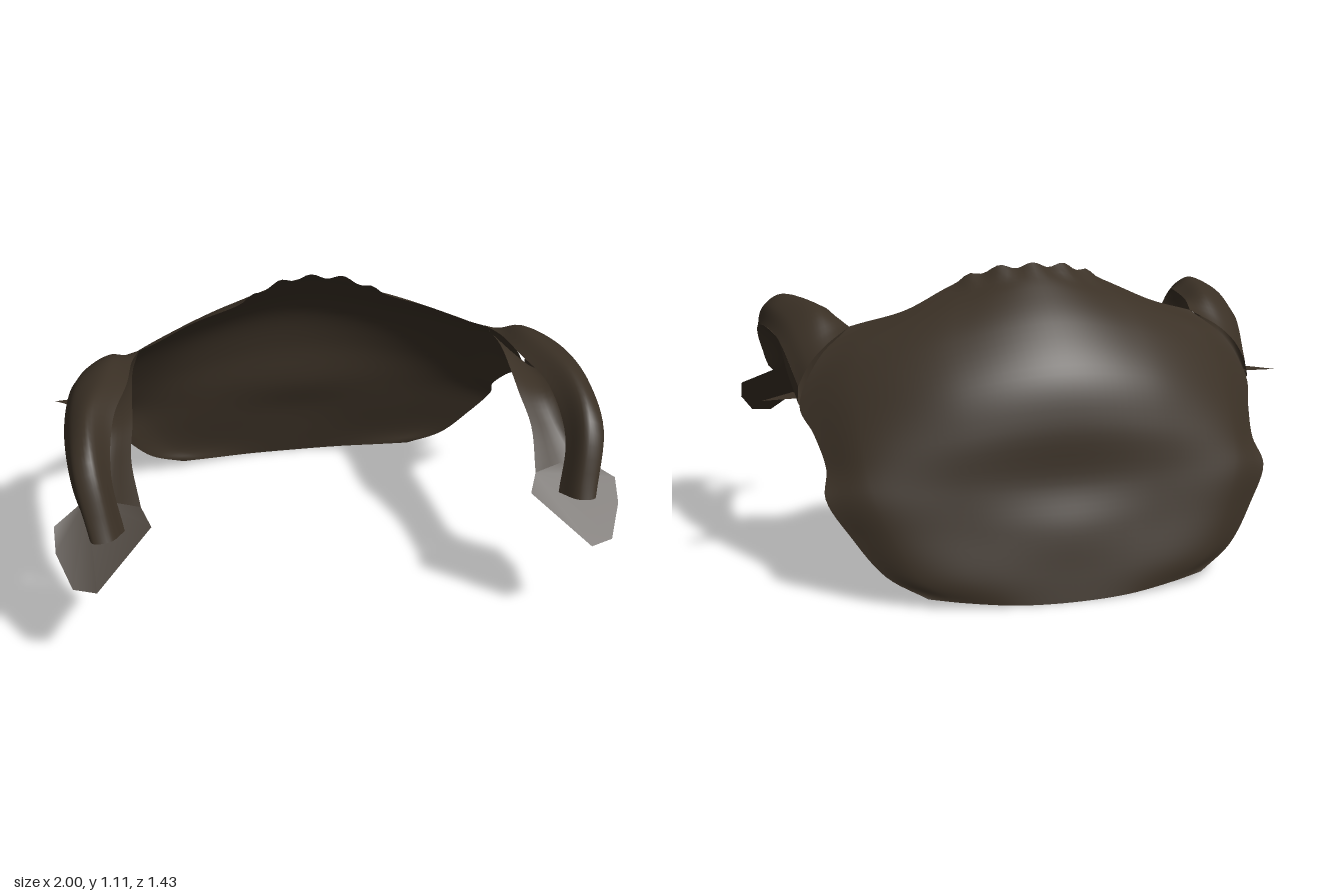
import * as THREE from 'three';

const hide = new THREE.MeshStandardMaterial({ color: 0x3a3025, side: THREE.DoubleSide });
hide.name = 'dark brown';

const V = (p) => new THREE.Vector3(...p);
const spline = (pts, n) => new THREE.CatmullRomCurve3(pts, false, 'centripetal').getPoints(n);

// Smooth sheet through rows of control points; optional rule moves each vertex
function loft(rows, nu, nv, rule) {
  const across = rows.map((r) => spline(r, nu));
  const pos = [], idx = [];
  for (let i = 0; i <= nu; i++) {
    spline(across.map((r) => r[i]), nv).forEach((p, j) => {
      if (rule) rule(p, j / nv);
      pos.push(p.x, p.y, p.z);
    });
  }
  const w = nv + 1;
  for (let i = 0; i < nu; i++) {
    for (let j = 0; j < nv; j++) {
      const a = i * w + j, b = a + w;
      idx.push(a, a + 1, b, b, a + 1, b + 1);
    }
  }
  return finish(pos, idx);
}

// Flat plate from an outline, filled as a fan
function plate(points) {
  const idx = [];
  for (let i = 1; i < points.length - 1; i++) idx.push(0, i, i + 1);
  return finish(points.flat(), idx);
}

function finish(pos, idx) {
  const g = new THREE.BufferGeometry();
  g.setAttribute('position', new THREE.Float32BufferAttribute(pos, 3));
  g.setIndex(idx);
  g.computeVertexNormals();
  return g;
}

function add(parent, name, geometry) {
  const m = new THREE.Mesh(geometry, hide);
  m.name = name;
  parent.add(m);
}

// Half rows of the back panel, rim to hem, each from the centre to the side edge
const PANEL = [
  [[0, 1.1, -0.2], [0.22, 1.055, -0.14], [0.48, 0.945, -0.15], [0.66, 0.89, -0.1]],
  [[0, 1.035, -0.3], [0.3, 0.97, -0.27], [0.6, 0.865, -0.21], [0.78, 0.79, -0.15]],
  [[0, 0.93, -0.43], [0.35, 0.87, -0.385], [0.68, 0.75, -0.28], [0.86, 0.635, -0.2]],
  [[0, 0.77, -0.56], [0.35, 0.73, -0.515], [0.68, 0.64, -0.38], [0.825, 0.55, -0.3]],
  [[0, 0.6, -0.61], [0.35, 0.57, -0.58], [0.68, 0.5, -0.48], [0.8, 0.45, -0.4]],
  [[0, 0.4, -0.625], [0.35, 0.4, -0.61], [0.66, 0.38, -0.55], [0.815, 0.365, -0.47]],
  [[0, 0.25, -0.67], [0.33, 0.25, -0.645], [0.6, 0.24, -0.6], [0.74, 0.24, -0.53]],
  [[0, 0.1, -0.7], [0.3, 0.1, -0.685], [0.52, 0.1, -0.645], [0.635, 0.11, -0.59]],
  [[0, 0, -0.72], [0.2, 0.005, -0.71], [0.38, 0.02, -0.675], [0.5, 0.035, -0.645]],
];

// Strap canopy sections from shoulder to front: outer edge, top, ridge, free inner edge
const STRAP = [
  [[0.86, 0.7, -0.18], [0.82, 0.77, -0.17], [0.76, 0.83, -0.15], [0.66, 0.89, -0.1]],
  [[0.9, 0.83, 0], [0.85, 0.89, 0], [0.76, 0.935, 0], [0.69, 0.91, 0.02]],
  [[0.93, 0.855, 0.2], [0.89, 0.92, 0.2], [0.8, 0.955, 0.2], [0.715, 0.92, 0.2]],
  [[0.94, 0.82, 0.4], [0.91, 0.9, 0.4], [0.85, 0.94, 0.4], [0.77, 0.89, 0.38]],
  [[0.92, 0.73, 0.56], [0.91, 0.82, 0.58], [0.85, 0.85, 0.58], [0.79, 0.77, 0.55]],
  [[0.88, 0.61, 0.62], [0.87, 0.6, 0.69], [0.81, 0.6, 0.69], [0.76, 0.59, 0.62]],
];

// Lining under the canopy, shoulder to tab: inner edge, lower fold, canopy's outer edge
const LINING = [
  [[0.66, 0.89, -0.1], [0.86, 0.635, -0.2], [0.86, 0.7, -0.18]],
  [[0.69, 0.87, 0.02], [0.87, 0.735, 0], [0.9, 0.83, 0]],
  [[0.7, 0.83, 0.14], [0.83, 0.785, 0.12], [0.92, 0.85, 0.13]],
  [[0.705, 0.79, 0.25], [0.81, 0.775, 0.25], [0.935, 0.85, 0.25]],
  [[0.72, 0.72, 0.38], [0.83, 0.71, 0.36], [0.94, 0.82, 0.4]],
  [[0.7, 0.62, 0.53], [0.88, 0.63, 0.46], [0.92, 0.73, 0.56]],
];

const TAB = [
  [0.7, 0.62, 0.53], [0.67, 0.575, 0.59], [0.87, 0.41, 0.715], [0.95, 0.42, 0.695],
  [1, 0.5, 0.59], [1, 0.57, 0.53], [0.88, 0.63, 0.46],
];

const SPIKE = [[0.8, 0.66, -0.19], [0.99, 0.655, -0.18], [0.87, 0.66, -0.09]];

export function createModel() {
  const model = new THREE.Group();
  model.name = 'shoulderMantle';

  // Back panel with a lightly scalloped crest on its top rim
  const rows = PANEL.map((r) => [
    ...r.slice(1).reverse().map(([x, y, z]) => V([-x, y, z])), ...r.map(V),
  ]);
  add(model, 'backPanel', loft(rows, 72, 48, (p, v) => {
    const fade = Math.max(0, 1 - v * 14);
    const crest = THREE.MathUtils.smoothstep(0.28 - Math.abs(p.x), 0, 0.08);
    p.y += (0.01 * Math.cos(p.x * 52) + 0.015 * Math.abs(p.x) / 0.2) * crest * fade;
    p.z += 0.008 * Math.cos(p.x * 21) * fade;
  }));

  // Straps, linings, end tabs and side spikes, mirrored
  for (const [side, s] of [['left', 1], ['right', -1]]) {
    const flip = ([x, y, z]) => [s * x, y, z];
    const order = (a) => (s > 0 ? a : [...a].reverse());
    const sections = (list) => list.map((r) => order(r).map((p) => V(flip(p))));
    const group = new THREE.Group();
    group.name = side + 'Shoulder';
    add(group, side + 'Strap', loft(sections(STRAP), 18, 30));
    add(group, side + 'Lining', loft(sections(LINING), 12, 24));
    add(group, side + 'Tab', plate(order(TAB.map(flip))));
    add(group, side + 'Spike', plate(order(SPIKE.map(flip)).reverse()));
    model.add(group);
  }
  return model;
}
